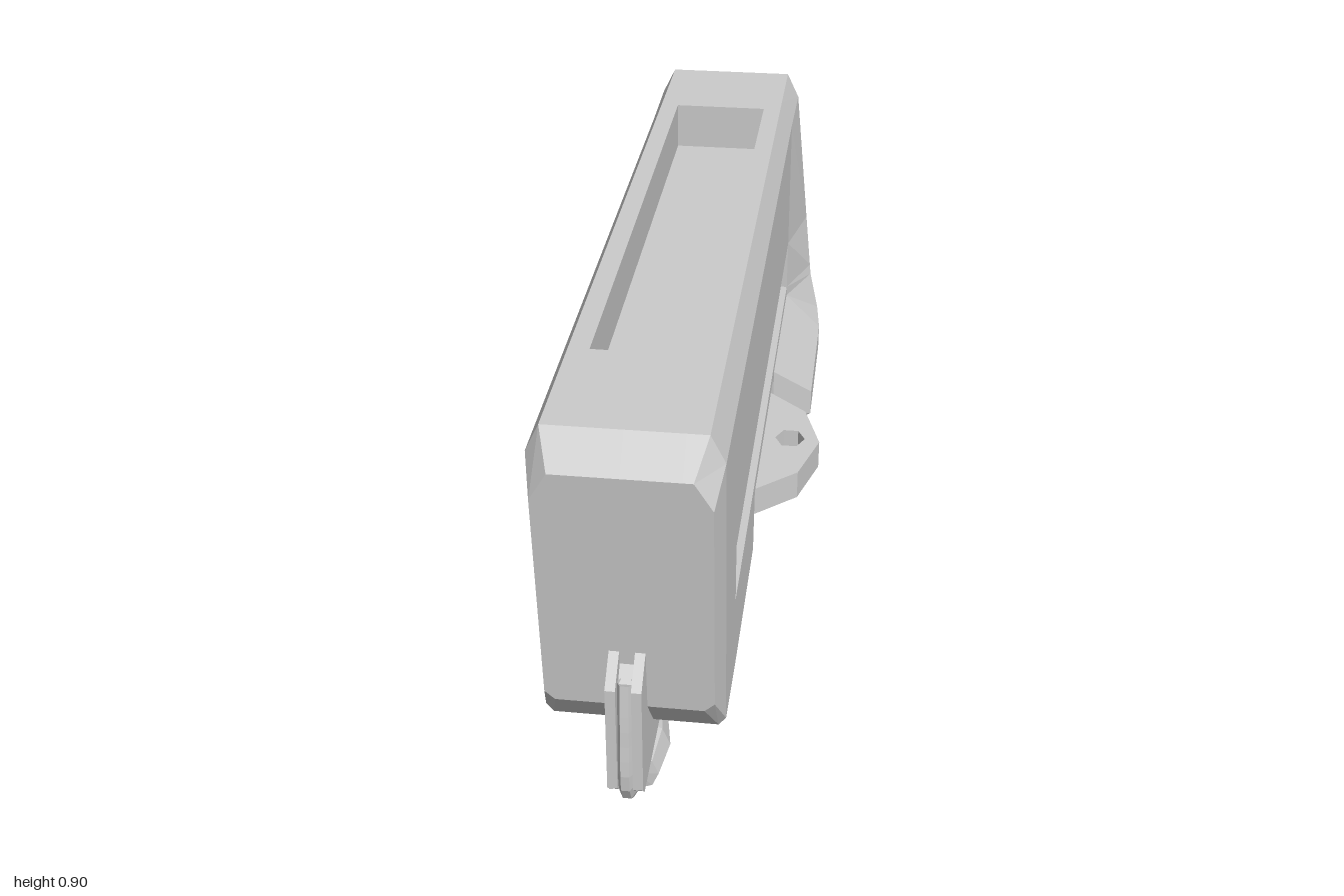
import * as THREE from 'three';

const material = new THREE.MeshStandardMaterial({ color: 0xcccccc, flatShading: true, side: THREE.DoubleSide });

function add(parent, name, geometry) {
  const mesh = new THREE.Mesh(geometry, material);
  mesh.name = name;
  parent.add(mesh);
  return mesh;
}

// Piecewise linear slope of the two end faces
const frontZ = (y) => 0.93 + (y - 0.3) * 0.095;
const rearZ = (y) => (y < 0.5 ? -0.92 - (y - 0.31) * 0.26 : -0.97 - (y - 0.5) * 0.094);

// Right half of a body cross-section, bottom centre to top centre
function section(z, o = {}) {
  const { w = 0.18, low = 0.18, flare = 0.18, base = 0.165, yb = 0.185, yt = 0.905,
    wt = 0.152, panel = 0, well = 0 } = o;
  const yf = Math.max(yb + 0.02, 0.265);
  const side = (y) => low + (w - low) * (y - 0.345) / 0.455;
  const pts = [
    [0, yb], [base, yb], [flare, yb + 0.02], [flare, yf], [side(0.355), 0.355],
    [side(0.38), 0.38], [side(0.38) - panel, 0.38], [side(0.51) - panel, 0.51], [side(0.51), 0.51],
    [w, yt - 0.06], [wt, yt], [0.11, yt], [0.11, yt - well], [0, yt - well],
  ];
  return pts.map(([x, y]) => [x, y, typeof z === 'function' ? z(y) : z]);
}

// Joins mirrored half-sections into a closed hull
function loft(sections) {
  const rings = sections.map((s) => [...s, ...s.map(([x, y, z]) => [-x, y, z]).reverse()]);
  const pos = [];
  const quad = (a, b, c, d) => pos.push(...a, ...b, ...c, ...a, ...c, ...d);
  const n = rings[0].length;
  for (let k = 0; k + 1 < rings.length; k++) {
    for (let i = 0; i < n; i++) {
      const j = (i + 1) % n;
      quad(rings[k][i], rings[k][j], rings[k + 1][j], rings[k + 1][i]);
    }
  }
  const rear = rings[0], front = rings[rings.length - 1];
  for (let i = 0; i + 1 < n / 2; i++) {
    const l = n - 1 - i;
    quad(front[i], front[i + 1], front[l - 1], front[l]);
    quad(rear[l], rear[l - 1], rear[i + 1], rear[i]);
  }
  const g = new THREE.BufferGeometry();
  g.setAttribute('position', new THREE.Float32BufferAttribute(pos, 3));
  g.computeVertexNormals();
  return g;
}

// Plate drawn in (z, y), centred at x
function sidePlate(points, x, width) {
  const shape = new THREE.Shape(points.map(([z, y]) => new THREE.Vector2(z, y)));
  return new THREE.ExtrudeGeometry(shape, { depth: width, bevelEnabled: false })
    .translate(0, 0, -width / 2).rotateY(-Math.PI / 2).translate(x, 0, 0);
}

function polygon(target, cx, cy, rx, ry, sides) {
  const pts = [];
  for (let i = 0; i < sides; i++) {
    const a = (i / sides) * Math.PI * 2;
    pts.push(new THREE.Vector2(cx + rx * Math.cos(a), cy + ry * Math.sin(a)));
  }
  return target.setFromPoints(pts);
}

export function createModel() {
  const model = new THREE.Group();
  model.name = 'model';

  // Body: top well, side panels, underside notch and flared rear
  const flared = { flare: 0.272, base: 0.235, yb: 0.18 };
  const panel = 0.025, well = 0.11;
  add(model, 'body', loft([
    section(rearZ, { w: 0.167, low: 0.2, flare: 0.2, base: 0.17, yb: 0.29, yt: 0.83, wt: 0.15 }),
    section((y) => rearZ(y) + 0.07, { w: 0.182, low: 0.238, flare: 0.26, base: 0.225, yb: 0.18 }),
    section(-0.72, flared),
    section(-0.72, { ...flared, panel }),
    section(-0.67, { ...flared, panel }),
    section(-0.67, { ...flared, panel, well }),
    section(-0.36, { ...flared, panel, well }),
    section(-0.29, { panel, well, yb: 0.21 }),
    section(-0.28, { panel, well, yb: 0.33 }),
    section(0.25, { panel, well, yb: 0.33 }),
    section(0.265, { panel, well }),
    section(0.64, { panel, well }),
    section(0.64, { panel }),
    section(0.69, { panel }),
    section(0.69),
    section((y) => frontZ(y) - 0.065, { yb: 0.195 }),
    section(frontZ, { w: 0.165, low: 0.165, flare: 0.165, base: 0.145, yb: 0.29, yt: 0.84, wt: 0.13 }),
  ]));

  // Mounting plate with bolt holes under the body
  const mount = new THREE.Group();
  mount.name = 'mount';
  model.add(mount);
  const plate = polygon(new THREE.Shape(), 0, 0, 0.31, 0.275, 12);
  for (const s of [-1, 1]) {
    plate.holes.push(polygon(new THREE.Path(), s * 0.24, -0.01, 0.035, 0.04, 6));
    plate.holes.push(polygon(new THREE.Path(), 0, s * 0.215, 0.035, 0.03, 6));
  }
  add(mount, 'mountPlate', new THREE.ExtrudeGeometry(plate, { depth: 0.068, bevelEnabled: false })
    .rotateX(Math.PI / 2).translate(0, 0.33, -0.01));
  add(mount, 'mountBoss', new THREE.CylinderGeometry(0.165, 0.14, 0.022, 8).translate(0, 0.252, -0.01));

  // Front bracket: two cheeks around a recessed core
  const bracket = new THREE.Group();
  bracket.name = 'bracket';
  model.add(bracket);
  const cheek = [[0.44, 0.125], [0.98, 0.12], [1, 0.14], [1, 0.38], [0.93, 0.44], [0.85, 0.4], [0.8, 0.24], [0.44, 0.24]];
  const core = [[0.44, 0.13], [0.96, 0.13], [0.965, 0.37], [0.92, 0.42], [0.85, 0.4], [0.8, 0.24], [0.44, 0.24]];
  for (const s of [-1, 1]) add(bracket, s > 0 ? 'leftCheek' : 'rightCheek', sidePlate(cheek, s * 0.025, 0.02));
  add(bracket, 'bracketCore', sidePlate(core, 0, 0.034));

  // Cable running down the groove and back into the plug
  const path = new THREE.CatmullRomCurve3([[0.38, 0.97], [0.25, 0.982], [0.13, 0.982], [0.085, 0.94], [0.065, 0.84]]
    .map(([y, z]) => new THREE.Vector3(0, y, z)));
  add(model, 'cable', new THREE.TubeGeometry(path, 12, 0.017, 6));

  // Waisted plug beneath the bracket
  const outline = [[0, 0.44], [0.05, 0.44], [0.053, 0.54], [0.042, 0.63], [0.04, 0.68], [0.057, 0.77], [0.045, 0.86], [0, 0.865]];
  add(model, 'plug', new THREE.LatheGeometry(outline.map(([r, z]) => new THREE.Vector2(r, z)), 8)
    .rotateX(Math.PI / 2).translate(0, 0.057, 0));

  return model;
}
